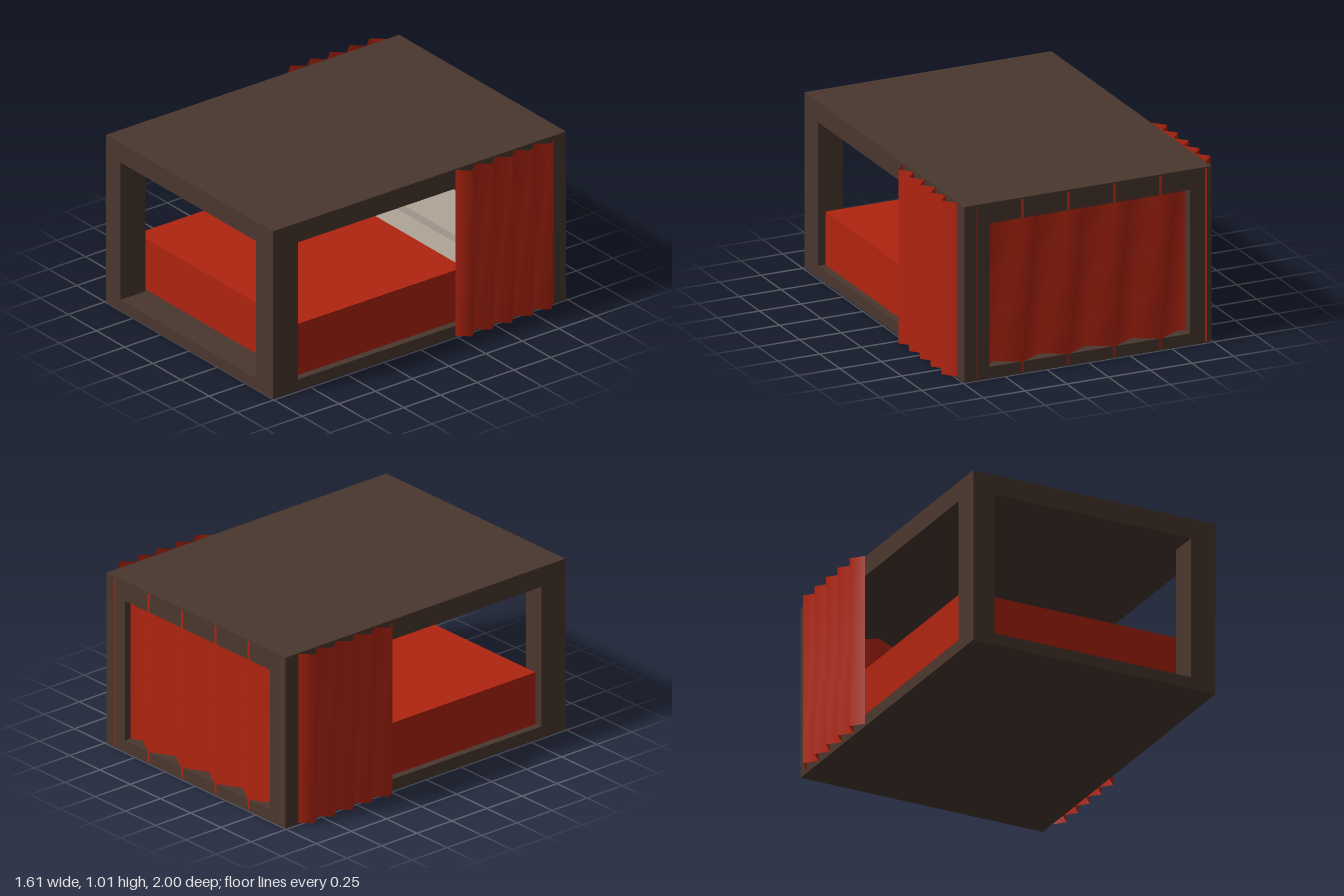
import * as THREE from 'three';

export function createModel() {
  const model = new THREE.Group();
  const mat = (name, color, side = THREE.FrontSide) => {
    const m = new THREE.MeshStandardMaterial({ color, side });
    m.name = name;
    return m;
  };
  const wood = mat('darkWood', 0x4a372e);
  const red = mat('redFabric', 0xb02410);
  const drape = mat('redDrape', 0xb02410, THREE.DoubleSide);
  drape.color = red.color;
  const grey = mat('warmGrey', 0xb0a598);

  // Box given by its minimum and maximum corners
  const box = (name, material, [x0, y0, z0], [x1, y1, z1]) => {
    const mesh = new THREE.Mesh(new THREE.BoxGeometry(x1 - x0, y1 - y0, z1 - z0), material);
    mesh.position.set((x0 + x1) / 2, (y0 + y1) / 2, (z0 + z1) / 2);
    mesh.name = name;
    model.add(mesh);
    return mesh;
  };

  // Pleated curtain: a plane folded in a zigzag, with soft shared normals
  const curtain = (name, width, height, depth, outerEnds, pos, turn) => {
    const folds = 10;
    const geo = new THREE.PlaneGeometry(width, height, folds, 1);
    const p = geo.attributes.position;
    for (let i = 0; i < p.count; i++) {
      const odd = (i % (folds + 1)) % 2 === 1;
      p.setZ(i, odd !== outerEnds ? depth : 0);
    }
    geo.computeVertexNormals();
    const mesh = new THREE.Mesh(geo, drape);
    mesh.position.set(...pos);
    mesh.rotation.y = turn;
    mesh.name = name;
    model.add(mesh);
  };

  // Frame: floor, roof and four posts
  box('floor', wood, [-0.74, 0, -0.995], [0.74, 0.068, 1]);
  box('roof', wood, [-0.74, 0.895, -0.995], [0.74, 1.012, 1]);
  for (const [end, z0, z1] of [['front', 0.83, 1], ['back', -0.995, -0.83]]) {
    box(end + 'RightPost', wood, [-0.74, 0.068, z0], [-0.61, 0.895, z1]);
    box(end + 'LeftPost', wood, [0.59, 0.068, z0], [0.74, 0.895, z1]);
  }

  // Seating: mattress, with a stepped grey base behind it
  box('mattress', red, [-0.7, 0.07, -0.33], [0.7, 0.378, 0.82]);
  box('rearBase', grey, [-0.58, 0.068, -0.92], [0.58, 0.285, -0.33]);
  box('rearCushion', grey, [-0.58, 0.285, -0.92], [0.58, 0.33, -0.59]);

  // Curtains on both sides and across the back
  for (const s of [1, -1]) {
    curtain(s > 0 ? 'leftCurtain' : 'rightCurtain', 0.67, 1, 0.06, false,
      [s * 0.746, 0.51, -0.575], s * Math.PI / 2);
  }
  curtain('backCurtain', 1.38, 0.995, 0.08, true, [-0.02, 0.507, -0.92], Math.PI);

  return model;
}
